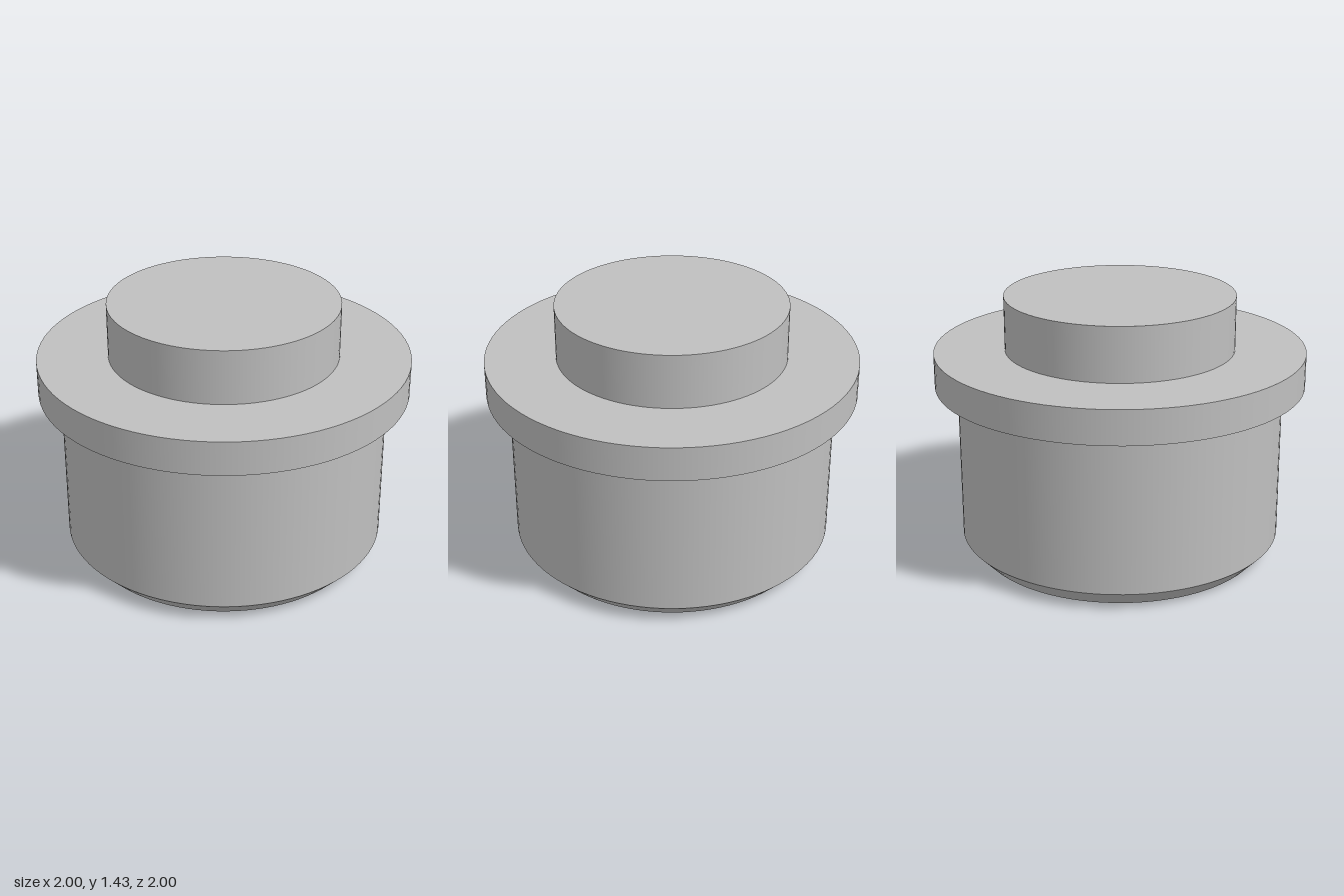
import * as THREE from 'three';
import { mergeGeometries } from 'three/addons/utils/BufferGeometryUtils.js';

const SEGMENTS = 96;

// Revolve each profile step on its own so every edge between steps stays sharp
function turned(profile) {
  const bands = [];
  for (let i = 0; i < profile.length - 1; i++) {
    const points = [profile[i], profile[i + 1]].map(([r, y]) => new THREE.Vector2(r, y));
    bands.push(new THREE.LatheGeometry(points, SEGMENTS));
  }
  return mergeGeometries(bands);
}

export function createModel() {
  const model = new THREE.Group();
  model.name = 'flangedPlug';
  const grey = new THREE.MeshStandardMaterial({ color: 0xbfbfbf });
  grey.name = 'plain grey';

  // Profiles run from the bottom centre outward and up, as [radius, height]
  const parts = {
    // Shallow blind hole in the underside
    centreHole: [[0, 0.06], [0.1, 0.06], [0.1, 0]],
    // Chamfered main barrel with its flat base
    body: [[0.1, 0], [0.79, 0], [0.88, 0.095], [0.88, 0.95]],
    // Wide collar
    flange: [[0.88, 0.95], [1, 0.95], [1, 1.135], [0.62, 1.135]],
    // Raised round boss on top
    boss: [[0.62, 1.135], [0.62, 1.43], [0, 1.43]],
  };

  for (const [name, profile] of Object.entries(parts)) {
    const mesh = new THREE.Mesh(turned(profile), grey);
    mesh.name = name;
    model.add(mesh);
  }
  return model;
}
